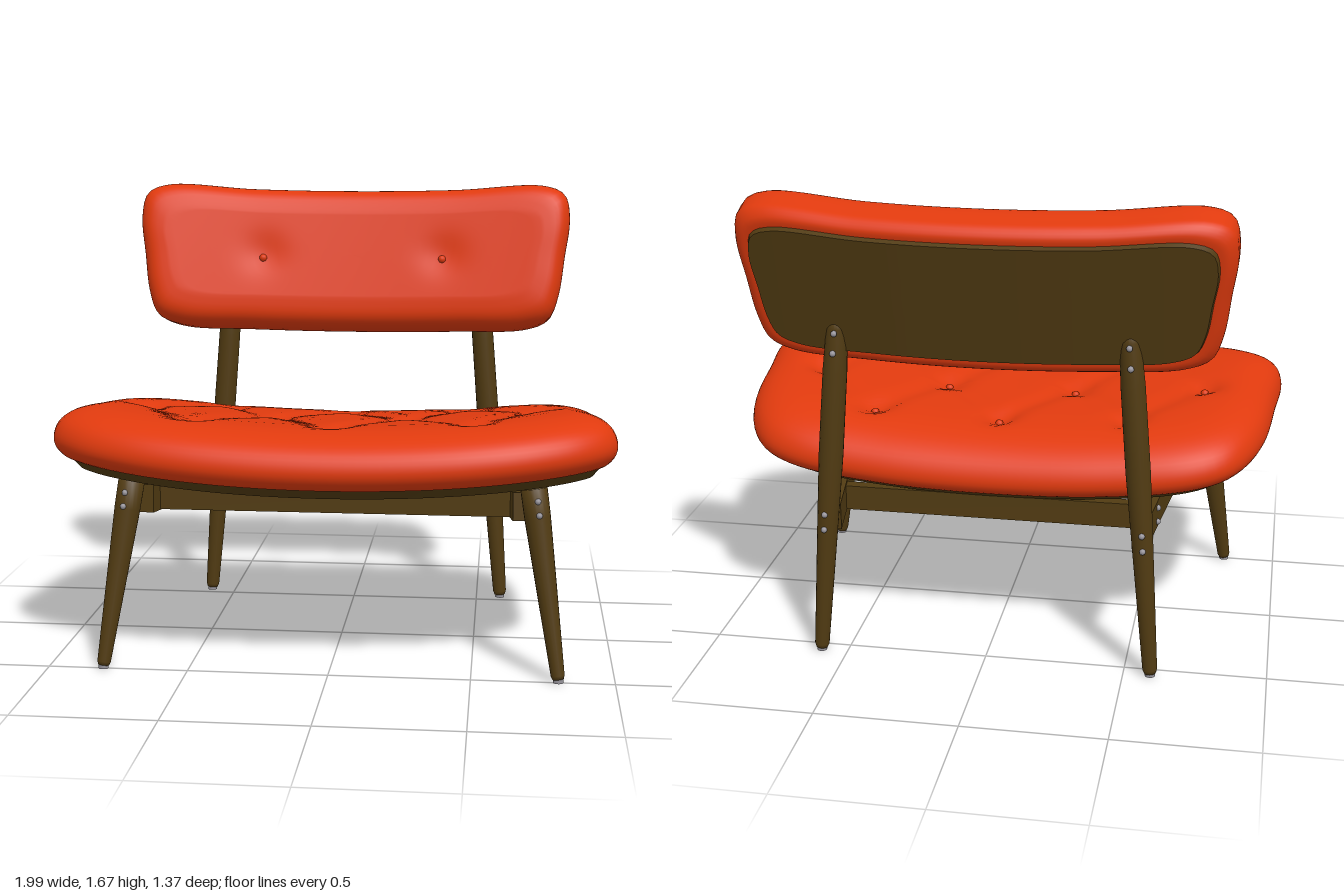
import * as THREE from 'three';
import { toCreasedNormals } from 'three/addons/utils/BufferGeometryUtils.js';

const material = (name, color) => Object.assign(new THREE.MeshStandardMaterial({ color }), { name });

// Full counter-clockwise outline from its right half, listed bottom to top
function mirrorOutline(half, count) {
  const left = half.slice(1, -1).reverse().map(([u, v]) => [-u, v]);
  const points = [...half, ...left].map(([u, v]) => new THREE.Vector3(u, v, 0));
  return new THREE.CatmullRomCurve3(points, true, 'centripetal').getSpacedPoints(count).slice(0, count);
}

// Closed solid: outline rings stacked along a profile of [height, inset], filled at both ends
function ringSolid(outline, profile, { half, v0 = 0, vInset = 1 }, place) {
  const rings = [];
  const fill = 22, n = outline.length;
  const first = profile[0], last = profile[profile.length - 1];
  for (let i = 0; i < fill; i++) rings.push([...first, i / fill]);
  profile.forEach(([h, inset]) => rings.push([h, inset, 1]));
  for (let i = fill - 1; i >= 0; i--) rings.push([...last, i / fill]);
  const position = [], index = [];
  rings.forEach(([h, inset, k], r) => outline.forEach((p, j) => {
    const u = p.x * (1 - inset / half[0]) * k;
    const v = v0 + (p.y - v0) * (1 - inset * vInset / half[1]) * k;
    position.push(...place(u, v, h));
    if (r === rings.length - 1) return;
    const a = r * n + j, b = r * n + (j + 1) % n;
    index.push(a, b, b + n, a, b + n, a + n);
  }));
  const geometry = new THREE.BufferGeometry();
  geometry.setAttribute('position', new THREE.Float32BufferAttribute(position, 3));
  geometry.setIndex(index);
  geometry.computeVertexNormals();
  return geometry;
}

const smoothProfile = (points) =>
  new THREE.SplineCurve(points.map(([h, i]) => new THREE.Vector2(h, i))).getPoints(24).map((p) => [p.x, p.y]);

export function createModel() {
  const model = new THREE.Group();
  const fabric = material('redFabric', 0xe03a0e);
  const wood = material('darkWood', 0x513b12);
  const metal = material('greyMetal', 0x96939a);

  const add = (name, geometry, mat, parent = model) => {
    const mesh = new THREE.Mesh(geometry, mat);
    mesh.name = name;
    parent.add(mesh);
    return mesh;
  };
  const ball = (name, mat, radius, x, y, z, parent) =>
    add(name, new THREE.SphereGeometry(radius, 12, 8), mat, parent).position.set(x, y, z);

  // Places a button where a ray meets a cushion
  const addButton = (name, cushion, from, direction, parent) => {
    const hit = new THREE.Raycaster(new THREE.Vector3(...from), new THREE.Vector3(...direction)).intersectObject(cushion)[0];
    if (hit) ball(name, fabric, 0.015, ...hit.point.toArray(), parent);
  };

  // Seat: bowed across, tilted backwards, tufted along diagonals between buttons
  const tufts = [[0, -0.21], [0.46, -0.21], [-0.46, -0.21], [0.24, 0.07], [-0.24, 0.07],
    [0.72, 0.06], [-0.72, 0.06], [0, 0.385], [0.5, 0.37], [-0.5, 0.37]];
  const creases = [];
  tufts.forEach((a, i) => tufts.slice(i + 1).forEach((b) => {
    const dz = Math.abs(a[1] - b[1]);
    if (Math.abs(a[0] - b[0]) < 0.3 && dz > 0.2 && dz < 0.35) creases.push([a, b]);
  }));
  const dip = (x, z) => {
    let crease = 0, button = 0;
    for (const [a, b] of creases) {
      const dx = b[0] - a[0], dz = b[1] - a[1];
      const t = THREE.MathUtils.clamp(((x - a[0]) * dx + (z - a[1]) * dz) / (dx * dx + dz * dz), 0, 1);
      const d = Math.hypot(x - a[0] - t * dx, z - a[1] - t * dz);
      crease = Math.max(crease, 0.011 * Math.exp(-((d / 0.045) ** 2)));
    }
    for (const [a, b] of tufts) {
      const d = Math.hypot(x - a, z - b);
      button = Math.max(button, 0.026 * Math.exp(-((d / 0.06) ** 2)));
    }
    return crease + button;
  };
  const seatY = (x, z) => 0.62 + 0.08 * x * x + 0.088 * (z - 0.2);
  const seatPlace = (u, v, h) => [u, seatY(u, -v) + h - (h > 0.2 ? dip(u, -v) : 0), -v];
  const seatOutline = mirrorOutline([[0, -0.685], [0.5, -0.66], [0.73, -0.605], [0.89, -0.52], [0.985, -0.4],
    [0.975, -0.13], [0.945, 0.13], [0.89, 0.29], [0.82, 0.38], [0.7, 0.435], [0.4, 0.465], [0, 0.47]], 144);
  const seatSize = { half: [1, 0.58], v0: -0.1, vInset: 1.25 };
  const seatProfile = smoothProfile([[0.03, 0.08], [0.035, 0.035], [0.07, 0.003], [0.115, 0], [0.165, 0.022],
    [0.205, 0.07], [0.23, 0.14], [0.238, 0.22]]);
  const seat = add('seatCushion', ringSolid(seatOutline, seatProfile, seatSize, seatPlace), fabric);
  add('seatBoard', toCreasedNormals(
    ringSolid(seatOutline, [[0, 0.08], [0.035, 0.05]], seatSize, seatPlace), 0.6), wood);
  tufts.forEach(([x, z]) => addButton('seatButton', seat, [x, 2, z], [0, -1, 0], model));

  // Plate under the seat
  const plate = new THREE.PlaneGeometry(0.64, 0.4, 16, 2);
  const pos = plate.attributes.position;
  for (let i = 0; i < pos.count; i++) {
    const x = pos.getX(i), z = pos.getY(i) + 0.07;
    pos.setXYZ(i, x, seatY(x, z) - 0.005, z);
  }
  plate.computeVertexNormals();
  add('undersidePlate', plate, metal);

  // Backrest: curved around the sitter and leaning back
  const backrest = new THREE.Group();
  backrest.name = 'backrest';
  backrest.position.set(0, 1.375, -0.515);
  backrest.rotation.x = -0.262;
  model.add(backrest);
  const backOutline = mirrorOutline([[0, -0.28], [0.4, -0.277], [0.68, -0.27], [0.765, -0.235], [0.8, -0.15],
    [0.822, 0], [0.84, 0.15], [0.82, 0.245], [0.74, 0.282], [0.4, 0.273], [0, 0.27]], 144);
  const backSize = { half: [0.84, 0.28] };
  const backPlace = (u, v, h) => {
    const tuft = h > 0.08 ? 0.014 * Math.exp(-(((Math.abs(u) - 0.35) ** 2 + v * v) / 0.006)) : 0;
    return [u, v, h + 0.1 * u * u - tuft];
  };
  const backProfile = smoothProfile([[-0.1, 0.06], [-0.098, 0.03], [-0.07, 0.004], [-0.03, 0], [0.03, 0],
    [0.075, 0.016], [0.103, 0.05], [0.115, 0.11]]);
  const back = add('backCushion', ringSolid(backOutline, backProfile, backSize, backPlace), fabric, backrest);
  add('backBoard', toCreasedNormals(
    ringSolid(backOutline, [[-0.118, 0.062], [-0.095, 0.055]], backSize, backPlace), 0.6), wood, backrest);
  model.updateMatrixWorld(true);
  for (const s of [1, -1]) addButton('backButton', back, [s * 0.35, 1.39, 2], [0, 0, -1], model);

  // Turned leg from p to q, with [fraction of length, radius] rows
  const addLeg = (name, p, q, rows) => {
    const a = new THREE.Vector3(...p), axis = new THREE.Vector3(...q).sub(a);
    const length = axis.length();
    const points = rows.map(([t, r]) => new THREE.Vector2(r, t * length));
    const leg = add(name, new THREE.LatheGeometry(points, 20), wood);
    leg.position.copy(a);
    leg.quaternion.setFromUnitVectors(new THREE.Vector3(0, 1, 0), axis.normalize());
    const foot = add('footGlide', new THREE.CylinderGeometry(0.018, 0.018, 0.016, 16), metal);
    foot.position.set(p[0], 0.008, p[2]);
  };

  // Rectangular rail from p to q
  const addRail = (name, p, q, width, height) => {
    const a = new THREE.Vector3(...p), b = new THREE.Vector3(...q);
    const rail = add(name, new THREE.BoxGeometry(width, height, a.distanceTo(b)), wood);
    rail.position.copy(a).lerp(b, 0.5);
    rail.lookAt(b);
  };

  for (const s of [1, -1]) {
    addLeg('frontLeg', [s * 0.803, 0.012, 0.497], [s * 0.708, 0.665, 0.402],
      [[0, 0], [0, 0.02], [0.02, 0.024], [0.85, 0.046], [1, 0.047], [1, 0]]);
    addLeg('rearLeg', [s * 0.595, 0.012, -0.545], [s * 0.495, 1.26, -0.545],
      [[0, 0], [0, 0.021], [0.012, 0.026], [0.38, 0.037], [0.6, 0.043], [0.85, 0.042], [0.97, 0.036], [0.99, 0.028], [1, 0]]);
    addRail('sideRail', [s * 0.662, 0.592, 0.37], [s * 0.54, 0.514, -0.52], 0.05, 0.1);

    // Bolt heads on the legs and side rails
    const bolts = [[0.722, 0.63, 0.452], [0.728, 0.582, 0.459],
      [0.678, 0.608, 0.28], [0.678, 0.555, 0.28], [0.591, 0.555, -0.345], [0.591, 0.503, -0.345],
      [0.556, 0.545, -0.584], [0.56, 0.488, -0.583], [0.505, 1.14, -0.588], [0.499, 1.21, -0.586]];
    bolts.forEach(([x, y, z]) => ball('bolt', metal, 0.011, s * x, y, z));
  }
  addRail('frontRail', [-0.65, 0.588, 0.28], [0.65, 0.588, 0.28], 0.045, 0.1);
  addRail('rearRail', [-0.56, 0.525, -0.345], [0.56, 0.525, -0.345], 0.045, 0.09);

  return model;
}
